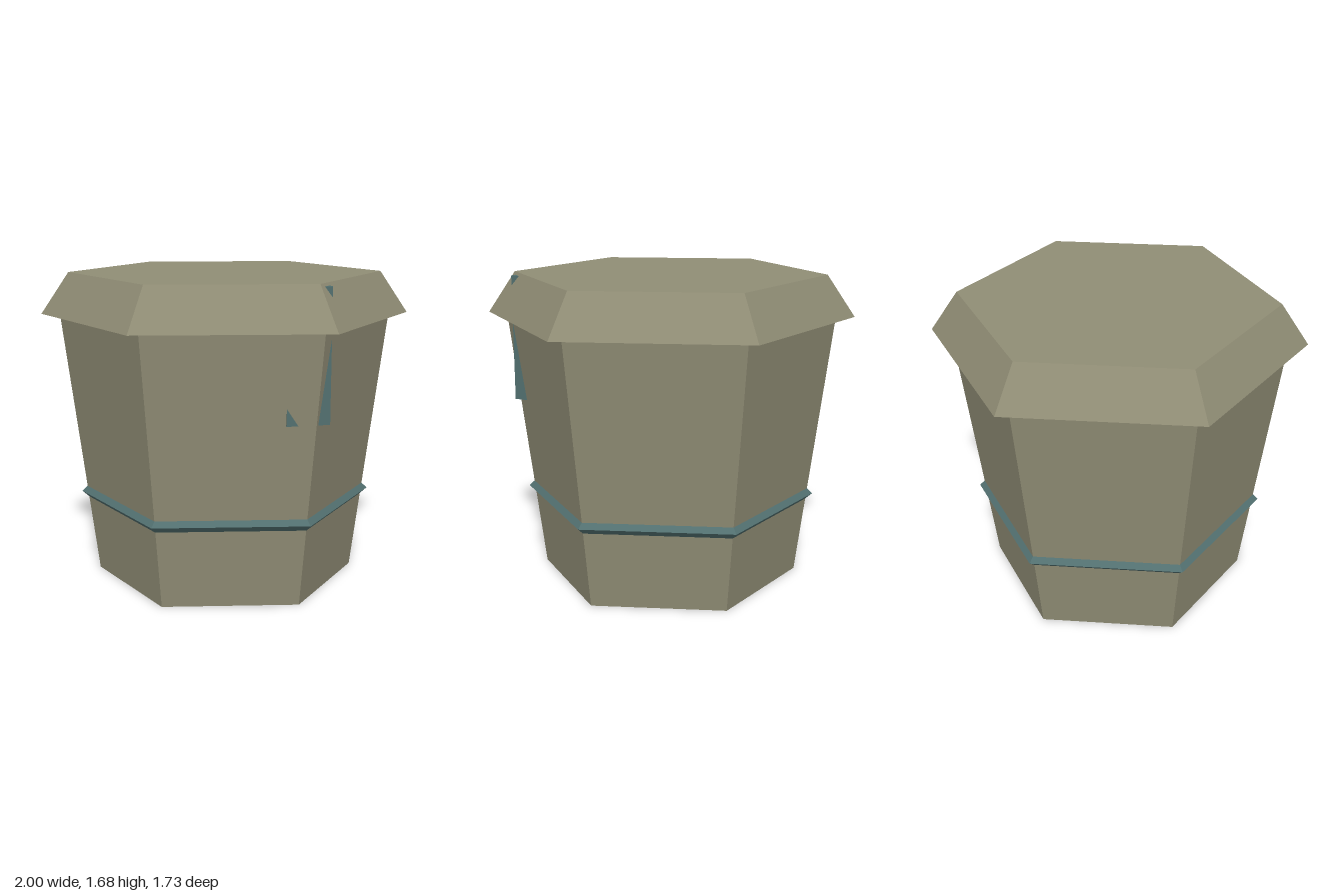
import * as THREE from 'three';

export function createModel() {
  const model = new THREE.Group();
  const stone = new THREE.MeshStandardMaterial({ color: 0x908d75, flatShading: true });
  stone.name = 'khaki stone';
  const teal = new THREE.MeshStandardMaterial({ color: 0x527070, flatShading: true });
  teal.name = 'dull teal';

  // Six-sided tapered ring or drum with corners on the x axis
  const hexDrum = (name, material, y0, r0, y1, r1, open = false) => {
    const geometry = new THREE.CylinderGeometry(r1, r0, y1 - y0, 6, 1, open, Math.PI / 2);
    const mesh = new THREE.Mesh(geometry, material);
    mesh.name = name;
    mesh.position.y = (y0 + y1) / 2;
    model.add(mesh);
  };

  hexDrum('body', stone, 0, 0.715, 1.455, 0.9);
  hexDrum('lid', stone, 1.455, 1, 1.68, 0.848);

  // Raised band with a pointed edge
  hexDrum('bandLower', teal, 0.42, 0.768, 0.453, 0.806, true);
  hexDrum('bandUpper', teal, 0.453, 0.806, 0.482, 0.776, true);

  // Upright block set inside the body, its corners breaking through the walls
  const block = new THREE.Mesh(new THREE.BoxGeometry(0.223, 0.685, 0.22), teal);
  block.name = 'insetBlock';
  block.position.set(0.362, 1.3225, 0.61);
  block.rotation.y = 0.167;
  model.add(block);

  return model;
}
